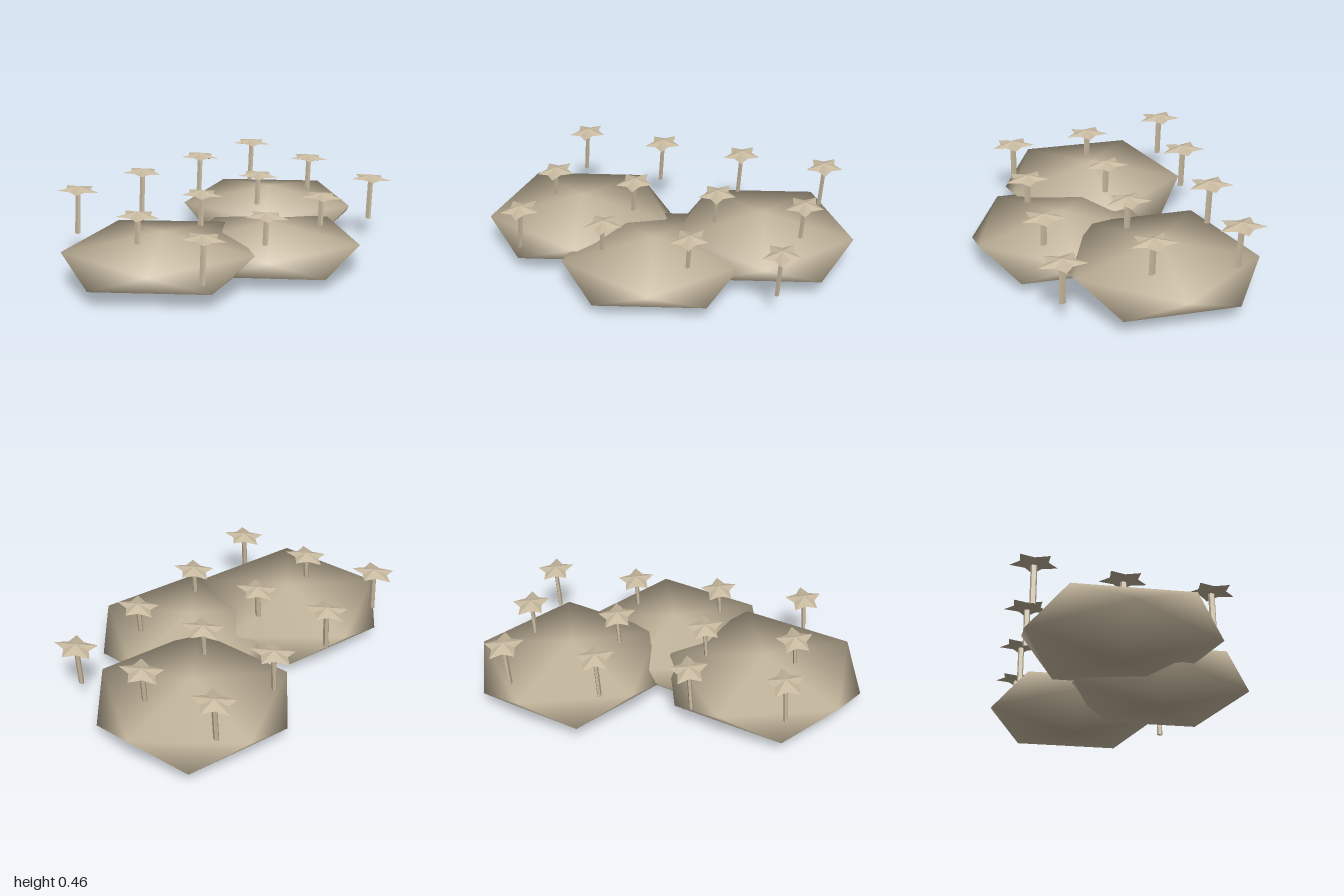
import * as THREE from 'three';

const sand = new THREE.MeshStandardMaterial({ color: 0xc8baa0 });
sand.name = 'sand';
const TAU = Math.PI * 2;

// Squashed 20-sided boulder with a vertex at top and bottom, rounded shading
function boulderGeometry(rx, h, rz) {
  const ringR = 2 / Math.sqrt(5), ringY = 1 / Math.sqrt(5);
  const dirs = [[0, 1, 0]];
  for (let ring = 0; ring < 2; ring++) {
    for (let i = 0; i < 5; i++) {
      const a = ((i + ring * 0.5) / 5) * TAU;
      dirs.push([ringR * Math.cos(a), ring ? -ringY : ringY, ringR * Math.sin(a)]);
    }
  }
  dirs.push([0, -1, 0]);
  const index = [];
  for (let i = 0; i < 5; i++) {
    const j = (i + 1) % 5;
    const u = 1 + i, un = 1 + j, l = 6 + i, ln = 6 + j;
    index.push(0, un, u, u, un, l, un, ln, l, 11, l, ln);
  }
  const g = new THREE.BufferGeometry();
  const pos = dirs.flatMap(([x, y, z]) => [(x * rx) / ringR, y * h, (z * rz) / ringR]);
  g.setAttribute('position', new THREE.Float32BufferAttribute(pos, 3));
  g.setAttribute('normal', new THREE.Float32BufferAttribute(dirs.flat(), 3));
  g.setIndex(index);
  return g;
}

// Five-pointed leaf crown: shallow pyramid above and below a star outline
function crownGeometry(rx, rz, up, down) {
  const rim = (k) => {
    const a = (k / 10) * TAU, r = k % 2 ? 0.58 : 1;
    return [rx * r * Math.cos(a), 0, rz * r * Math.sin(a)];
  };
  const pos = [];
  for (let k = 0; k < 10; k++) {
    const a = rim(k), b = rim(k + 1);
    pos.push(0, up, 0, ...b, ...a, 0, -down, 0, ...a, ...b);
  }
  const g = new THREE.BufferGeometry();
  g.setAttribute('position', new THREE.Float32BufferAttribute(pos, 3));
  g.computeVertexNormals();
  return g;
}

// Faceted trunk leaning slightly toward +x, top at the origin
function trunkGeometry(height) {
  const g = new THREE.CylinderGeometry(1, 1, height, 5, 1).toNonIndexed();
  g.rotateY(Math.PI / 2);
  g.scale(0.011, 1, 0.017);
  g.translate(0, -height / 2, 0);
  const p = g.attributes.position;
  for (let i = 0; i < p.count; i++) p.setX(i, p.getX(i) + p.getY(i) * 0.065);
  g.computeVertexNormals();
  return g;
}

export function createModel() {
  const model = new THREE.Group();
  model.name = 'palmIslands';
  const add = (parent, geometry, name, x, y, z) => {
    const mesh = new THREE.Mesh(geometry, sand);
    mesh.name = name;
    mesh.position.set(x, y, z);
    parent.add(mesh);
  };

  // Three overlapping islands
  add(model, boulderGeometry(0.51, 0.123, 0.5), 'rightIsland', -0.49, 0.14, -0.08);
  add(model, boulderGeometry(0.48, 0.12, 0.485), 'frontIsland', 0.04, 0.125, 0.2);
  add(model, boulderGeometry(0.49, 0.127, 0.49), 'leftIsland', 0.51, 0.152, -0.2);

  // Grid of palms; the crown heights rise toward the back
  const crown = crownGeometry(0.1, 0.124, 0.022, 0.015);
  const trunk = trunkGeometry(0.228);
  const columns = [-0.643, -0.177, 0.289, 0.755];
  const rows = [
    [0.343, [0.349, 0.351, 0.355, 0.362]],
    [-0.09, [0.377, 0.389, 0.4, 0.413]],
    [-0.523, [0.432, 0.436, 0.44, 0.443]],
  ];
  for (const [z, heights] of rows) {
    columns.forEach((x, i) => {
      const palm = new THREE.Group();
      palm.name = 'palm';
      palm.position.set(x, heights[i], z);
      add(palm, trunk, 'trunk', 0, 0, 0);
      add(palm, crown, 'crown', 0, 0, 0);
      model.add(palm);
    });
  }
  return model;
}
